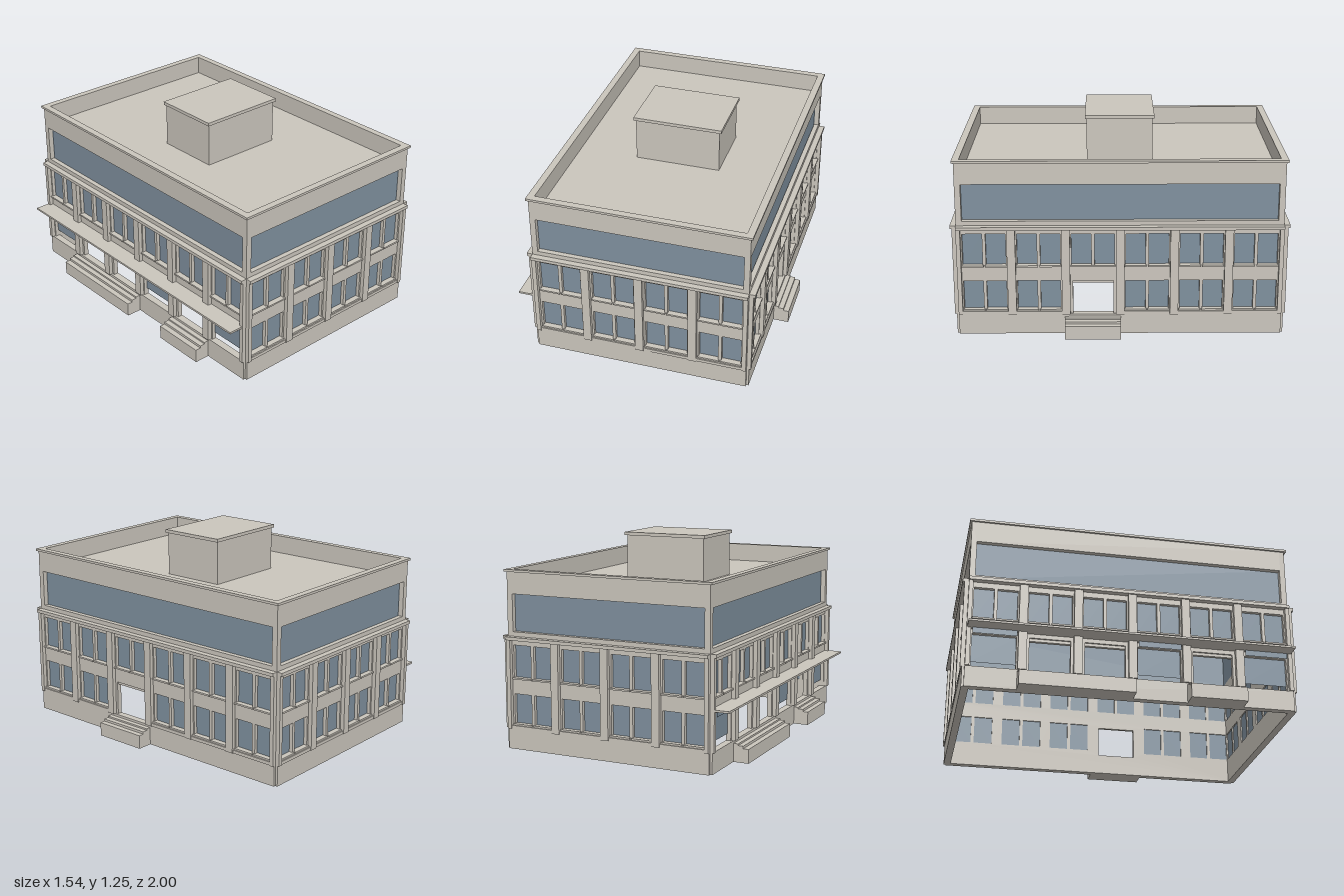
import * as THREE from 'three';

const stone = new THREE.MeshStandardMaterial({ color: 0xcbc6bd });
stone.name = 'stone';
const glass = new THREE.MeshStandardMaterial({ color: 0x7f909e, side: THREE.DoubleSide });
glass.name = 'glass';

const WALL = 0.03; // wall thickness
const HALF_X = 0.657, HALF_Z = 0.966;

// Box given by its limits on each axis
function block(parent, name, x0, x1, y0, y1, z0, z1, mat = stone) {
  const m = new THREE.Mesh(new THREE.BoxGeometry(x1 - x0, y1 - y0, z1 - z0), mat);
  m.position.set((x0 + x1) / 2, (y0 + y1) / 2, (z0 + z1) / 2);
  m.name = name;
  parent.add(m);
  return m;
}

function pane(parent, name, x0, x1, y0, y1, z) {
  const m = new THREE.Mesh(new THREE.PlaneGeometry(x1 - x0, y1 - y0), glass);
  m.position.set((x0 + x1) / 2, (y0 + y1) / 2, z);
  m.name = name;
  parent.add(m);
}

function rectPath(x0, x1, y0, y1) {
  const p = new THREE.Path();
  p.moveTo(x0, y0);
  p.lineTo(x0, y1);
  p.lineTo(x1, y1);
  p.lineTo(x1, y0);
  p.closePath();
  return p;
}

// One side: u runs along the wall in local x, local z points outward.
// doors: open bays; shopBays: wide single-pane bays on the ground floor
function facade(name, half, bays, spacing, doors = [], shopBays = []) {
  const g = new THREE.Group();
  g.name = name;
  const shape = new THREE.Shape();
  shape.moveTo(-half, 0);
  shape.lineTo(half, 0);
  shape.lineTo(half, 1.07);
  shape.lineTo(-half, 1.07);
  shape.closePath();

  // Long window band of the top floor
  shape.holes.push(rectPath(-half + 0.035, half - 0.035, 0.71, 0.935));
  pane(g, 'topFloorGlass', -half + 0.03, half - 0.03, 0.70, 0.948, -WALL - 0.003);

  const windowPair = (c, y0, y1) => {
    for (const s of [-1, 1]) {
      const a = c + s * 0.01, b = c + s * 0.128;
      const x0 = Math.min(a, b), x1 = Math.max(a, b);
      shape.holes.push(rectPath(x0, x1, y0, y1));
      pane(g, 'windowGlass', x0, x1, y0, y1, -0.022);
      block(g, 'windowSill', x0 - 0.006, x1 + 0.006, y0 - 0.01, y0, 0, 0.012);
    }
  };

  for (let i = 0; i < bays; i++) {
    const c = (i - (bays - 1) / 2) * spacing;
    const w = spacing / 2 - 0.025;
    windowPair(c, 0.435, 0.63);
    if (doors.includes(i)) {
      shape.holes.push(rectPath(c - 0.12, c + 0.12, 0.125, 0.335));
      block(g, 'doorHead', c - 0.12, c + 0.12, 0.318, 0.335, -WALL, -0.01);
    } else if (shopBays.includes(i)) {
      shape.holes.push(rectPath(c - 0.128, c + 0.128, 0.125, 0.335));
      pane(g, 'shopGlass', c - 0.128, c + 0.128, 0.165, 0.335, -0.022);
      pane(g, 'transomGlass', c - 0.128, c + 0.128, 0.325, 0.36, 0.028);
    } else {
      windowPair(c, 0.155, 0.335);
      block(g, 'bayLedge', c - w, c + w, 0.125, 0.145, 0, 0.02);
    }
  }

  const wall = new THREE.Mesh(
    new THREE.ExtrudeGeometry(shape, { depth: WALL, bevelEnabled: false }), stone);
  wall.position.z = -WALL;
  wall.name = 'wall';
  g.add(wall);

  // Pilasters between the bays and at the corners
  for (let i = 0; i <= bays; i++) {
    const c = (i - bays / 2) * spacing;
    block(g, 'pilaster', Math.max(c - 0.025, -half), Math.min(c + 0.025, half), 0.125, 0.665, 0, 0.025);
  }

  block(g, 'plinth', -half, half, 0, 0.125, 0, 0.014);
  block(g, 'cornice', -half, half, 0.663, 0.683, 0, 0.036);
  block(g, 'parapetCap', -half - 0.012, half + 0.012, 1.066, 1.08, -WALL, 0.012);
  return g;
}

// Three steps; side is +1 or -1 along x
function steps(parent, side, z0, z1) {
  const g = new THREE.Group();
  g.name = 'entranceSteps';
  for (const [reach, y] of [[0.70, 0.11], [0.732, 0.10], [0.766, 0.085]]) {
    const a = side * 0.665, b = side * reach;
    block(g, 'step', Math.min(a, b), Math.max(a, b), 0, y, z0, z1);
  }
  parent.add(g);
}

export function createModel() {
  const model = new THREE.Group();
  model.name = 'building';

  // Four sides
  const front = facade('frontSide', HALF_X, 4, 0.328);
  front.position.z = HALF_Z;
  const back = facade('backSide', HALF_X, 4, 0.328);
  back.position.z = -HALF_Z;
  back.rotation.y = Math.PI;
  const right = facade('doorSide', HALF_Z, 6, 0.322, [2]);
  right.position.x = HALF_X;
  right.rotation.y = Math.PI / 2;
  const left = facade('canopySide', HALF_Z, 6, 0.322, [1, 2, 4], [0, 3, 5]);
  left.position.x = -HALF_X;
  left.rotation.y = -Math.PI / 2;
  model.add(front, back, right, left);

  // Roof and rooftop room
  block(model, 'roof', -HALF_X + 0.02, HALF_X - 0.02, 0.95, 0.965, -HALF_Z + 0.02, HALF_Z - 0.02);
  block(model, 'roofRoom', -0.262, 0.262, 0.96, 1.23, -0.2, 0.2);
  block(model, 'roofRoomCap', -0.274, 0.276, 1.23, 1.25, -0.21, 0.21);

  // Canopy along one long side
  block(model, 'canopy', -0.77, -0.65, 0.36, 0.372, -0.963, 0.96);

  // Steps at the entrances
  steps(model, 1, -0.005, 0.33);
  steps(model, -1, -0.67, 0);
  steps(model, -1, 0.32, 0.655);

  return model;
}
